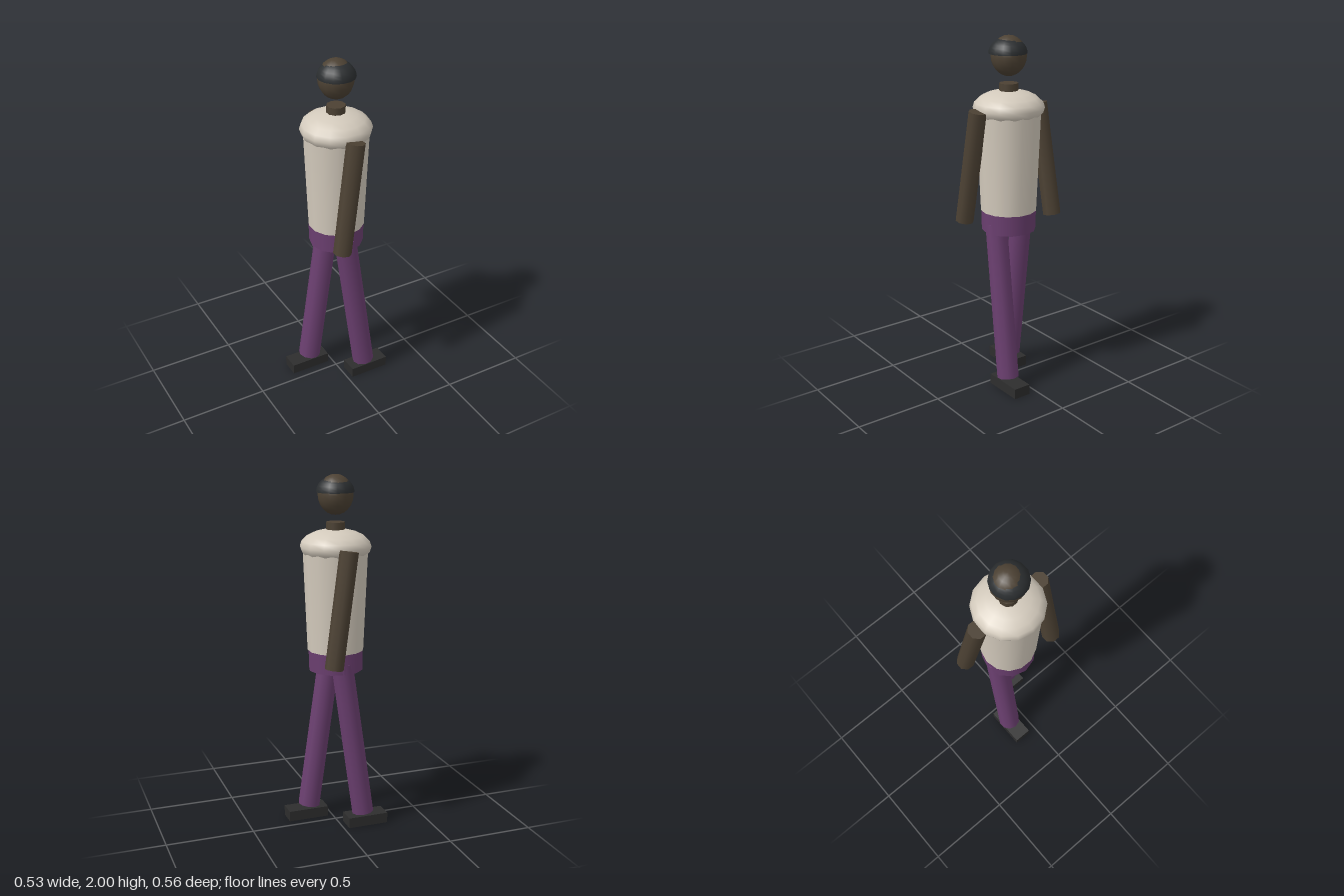
import * as THREE from 'three';

const UP = new THREE.Vector3(0, 1, 0);

function flat(name, color) {
  const m = new THREE.MeshStandardMaterial({ color });
  m.name = name;
  return m;
}

function add(parent, name, geometry, material, x = 0, y = 0, z = 0) {
  const mesh = new THREE.Mesh(geometry, material);
  mesh.name = name;
  mesh.position.set(x, y, z);
  parent.add(mesh);
  return mesh;
}

// Straight tapered limb between two points
function limb(parent, name, material, top, bottom, rTop, rBottom, sides) {
  const a = new THREE.Vector3(...top), b = new THREE.Vector3(...bottom);
  const axis = a.clone().sub(b);
  const geometry = new THREE.CylinderGeometry(rTop, rBottom, axis.length(), sides);
  geometry.rotateY(Math.PI / sides);
  const mesh = add(parent, name, geometry, material);
  mesh.position.copy(a).add(b).multiplyScalar(0.5);
  mesh.quaternion.setFromUnitVectors(UP, axis.normalize());
}

export function createModel() {
  const skin = flat('skin', 0x4c4133);
  const shirt = flat('shirt', 0xd3cabc);
  const trousers = flat('trousers', 0x6b3f70);
  const shoes = flat('shoes', 0x2d2d2d);
  const hairColor = flat('hair', 0x2b2e30);

  const model = new THREE.Group();
  model.name = 'walkingFigure';

  // Trunk
  add(model, 'pelvis', new THREE.CylinderGeometry(0.154, 0.152, 0.115, 12), trousers, 0, 0.978, 0);
  add(model, 'torso', new THREE.CylinderGeometry(0.181, 0.157, 0.585, 14), shirt, 0, 1.3275, 0);
  const shoulders = add(model, 'shoulders', new THREE.SphereGeometry(0.196, 14, 10), shirt, 0, 1.613, 0);
  shoulders.scale.y = 0.49;
  add(model, 'neck', new THREE.CylinderGeometry(0.052, 0.052, 0.12, 10), skin, 0, 1.685, 0);

  // Head, with a hair cap that the crown pokes through
  const head = add(model, 'head', new THREE.SphereGeometry(0.097, 14, 12), skin, 0, 1.891, 0);
  head.scale.y = 1.124;
  const capGeometry = new THREE.SphereGeometry(0.104, 14, 8, 0, Math.PI * 2, 0, Math.PI / 2);
  const hair = add(model, 'hair', capGeometry, hairColor, 0, 1.904, 0.005);
  hair.scale.y = 0.837;
  const underside = new THREE.CircleGeometry(0.104, 14);
  underside.rotateX(Math.PI / 2);
  add(model, 'hairUnderside', underside, hairColor, 0, 1.904, 0.005);

  // Each half of the stride is the other turned half way round
  for (const [side, turn] of [['front', 0], ['back', Math.PI]]) {
    const half = new THREE.Group();
    half.name = side + 'Limbs';
    half.rotation.y = turn;
    model.add(half);
    limb(half, side + 'Arm', skin, [0.002, 1.613, 0.204], [-0.094, 0.985, 0.235], 0.051, 0.051, 8);
    limb(half, side + 'Leg', trousers, [0.005, 0.97, 0.091], [0.13, 0.075, 0.102], 0.063, 0.064, 10);
    add(half, side + 'Shoe', new THREE.BoxGeometry(0.236, 0.06, 0.102), shoes, 0.147, 0.03, 0.102);
  }
  return model;
}
